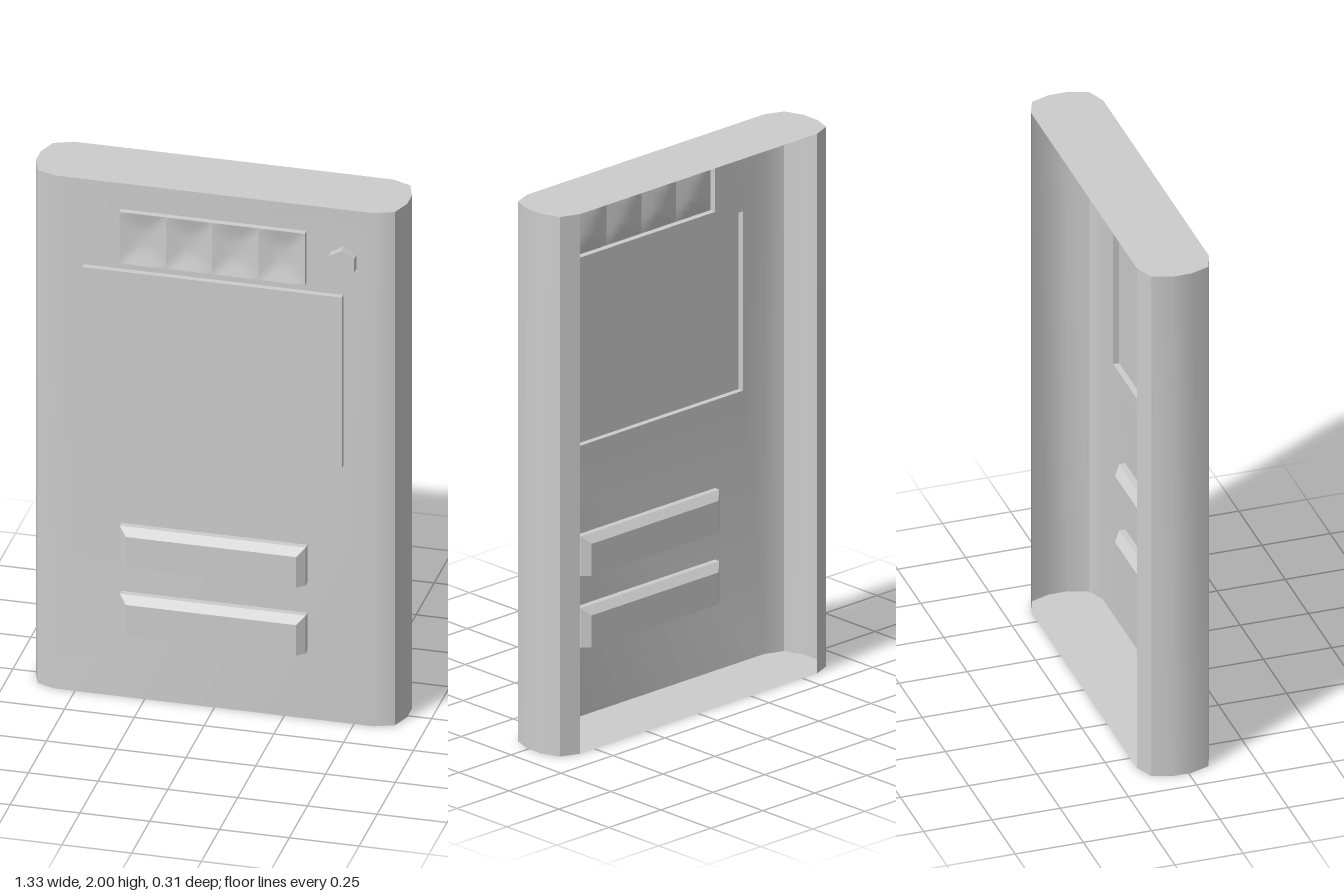
import * as THREE from 'three';
import { mergeGeometries, toCreasedNormals } from 'three/addons/utils/BufferGeometryUtils.js';
import { ConvexGeometry } from 'three/addons/geometries/ConvexGeometry.js';

const HEIGHT = 2, FRONT = 0.107;

// Half of the casing outline, from front edge to back edge, as [x, z]
const SIDE = [[0.57, FRONT], [0.64, 0.08], [0.665, 0.01], [0.665, -0.06], [0.64, -0.13], [0.57, -0.158]];

// Raised features that are hollow behind: [centre x, centre y, width, height]
const SCREEN = [-0.003, 1.335, 0.93, 0.665];
const KEYS = [-0.002, 1.8, 0.664, 0.2];
const BUTTON = { x: 0.463, y: 1.803, r: 0.053 };

function rectPath([x, y, w, h]) {
  return new THREE.Path([[-1, -1], [-1, 1], [1, 1], [1, -1]]
    .map(([a, b]) => new THREE.Vector2(x + a * w / 2, y + b * h / 2)));
}

// Curved side strip, mirrored with s = -1
function sideStrip(s) {
  const pos = [];
  for (let i = 0; i < SIDE.length - 1; i++) {
    const [x0, z0] = SIDE[i], [x1, z1] = SIDE[i + 1];
    const a = [s * x0, 0, z0], b = [s * x1, 0, z1];
    const c = [s * x1, HEIGHT, z1], d = [s * x0, HEIGHT, z0];
    const tris = s > 0 ? [a, b, c, a, c, d] : [a, c, b, a, d, c];
    tris.forEach((p) => pos.push(...p));
  }
  const g = new THREE.BufferGeometry();
  g.setAttribute('position', new THREE.Float32BufferAttribute(pos, 3));
  return g;
}

// Front sheet with openings behind the hollow features
function frontSheet() {
  const shape = new THREE.Shape([[-0.57, 0], [0.57, 0], [0.57, HEIGHT], [-0.57, HEIGHT]]
    .map((p) => new THREE.Vector2(...p)));
  const hex = [];
  for (let i = 0; i < 6; i++) {
    const t = -i * Math.PI / 3 + Math.PI / 2;
    hex.push(new THREE.Vector2(BUTTON.x + BUTTON.r * Math.cos(t), BUTTON.y + BUTTON.r * Math.sin(t)));
  }
  shape.holes.push(rectPath(SCREEN), rectPath(KEYS), new THREE.Path(hex));
  const g = new THREE.ShapeGeometry(shape).toNonIndexed().translate(0, 0, FRONT);
  g.deleteAttribute('uv');
  g.deleteAttribute('normal');
  return g;
}

// Box rim keeping only the first few faces (order: +x -x +y -y +z -z)
function openBox([x, y, w, h], depth, faces) {
  const g = new THREE.BoxGeometry(w, h, depth).translate(x, y, FRONT + depth / 2);
  g.setIndex(Array.from(g.index.array).slice(0, faces * 6));
  g.clearGroups();
  return g;
}

// Shallow dished key face
function dish(w, h) {
  const g = new THREE.PlaneGeometry(w, h, 8, 8);
  const p = g.attributes.position;
  for (let i = 0; i < p.count; i++) {
    const edge = Math.min(w / 2 - Math.abs(p.getX(i)), h / 2 - Math.abs(p.getY(i)));
    p.setZ(i, -0.014 * Math.min(1, edge / 0.06));
  }
  g.computeVertexNormals();
  return g;
}

// Bar with chamfered ends and top, passing through the front sheet
function ventBar(bottom) {
  const pts = [];
  for (const [z, inset] of [[0.06, 0.028], [0.085, 0], [0.13, 0], [0.155, 0.028]]) {
    for (const s of [-1, 1]) {
      const x = s * (0.333 - inset);
      pts.push(new THREE.Vector3(x, bottom, z), new THREE.Vector3(x, bottom + 0.147 - inset, z));
    }
  }
  return new ConvexGeometry(pts);
}

export function createModel() {
  const group = new THREE.Group();
  const grey = new THREE.MeshStandardMaterial({ color: 0xcccccc, side: THREE.DoubleSide });
  grey.name = 'plain grey';
  const add = (name, geometry) => {
    const mesh = new THREE.Mesh(geometry, grey);
    mesh.name = name;
    group.add(mesh);
    return mesh;
  };

  // Casing: front sheet and rounded sides, open at the back
  add('casing', toCreasedNormals(mergeGeometries([frontSheet(), sideStrip(1), sideStrip(-1)]), 0.6));

  // Flat end caps
  const outline = [...SIDE, ...SIDE.map(([x, z]) => [-x, z]).reverse()];
  const cap = new THREE.Shape(outline.map(([x, z]) => new THREE.Vector2(x, z)));
  add('bottomCap', new THREE.ShapeGeometry(cap).rotateX(Math.PI / 2));
  const flipped = new THREE.Shape(outline.map(([x, z]) => new THREE.Vector2(x, -z)));
  add('topCap', new THREE.ShapeGeometry(flipped).rotateX(-Math.PI / 2).translate(0, HEIGHT, 0));

  // Screen panel
  add('screen', openBox(SCREEN, 0.022, 5));

  // Row of four dished keys in a rim
  add('keyRim', openBox(KEYS, 0.024, 4));
  const keyWidth = KEYS[2] / 4;
  for (let i = 0; i < 4; i++) {
    const key = add('key', dish(keyWidth, KEYS[3]));
    key.position.set(KEYS[0] + (i - 1.5) * keyWidth, KEYS[1], FRONT + 0.024);
  }

  // Six-sided button: open tube and front disc
  const tube = new THREE.CylinderGeometry(BUTTON.r, BUTTON.r, 0.034, 6, 1, true).rotateX(Math.PI / 2);
  const side = add('buttonSide', toCreasedNormals(tube, 0.6));
  side.position.set(BUTTON.x, BUTTON.y, FRONT + 0.017);
  const face = add('buttonFace', new THREE.CircleGeometry(BUTTON.r, 6, Math.PI / 2));
  face.position.set(BUTTON.x, BUTTON.y, FRONT + 0.034);

  // Two vent bars
  for (const y of [0.265, 0.53]) add('ventBar', ventBar(y));

  return group;
}
